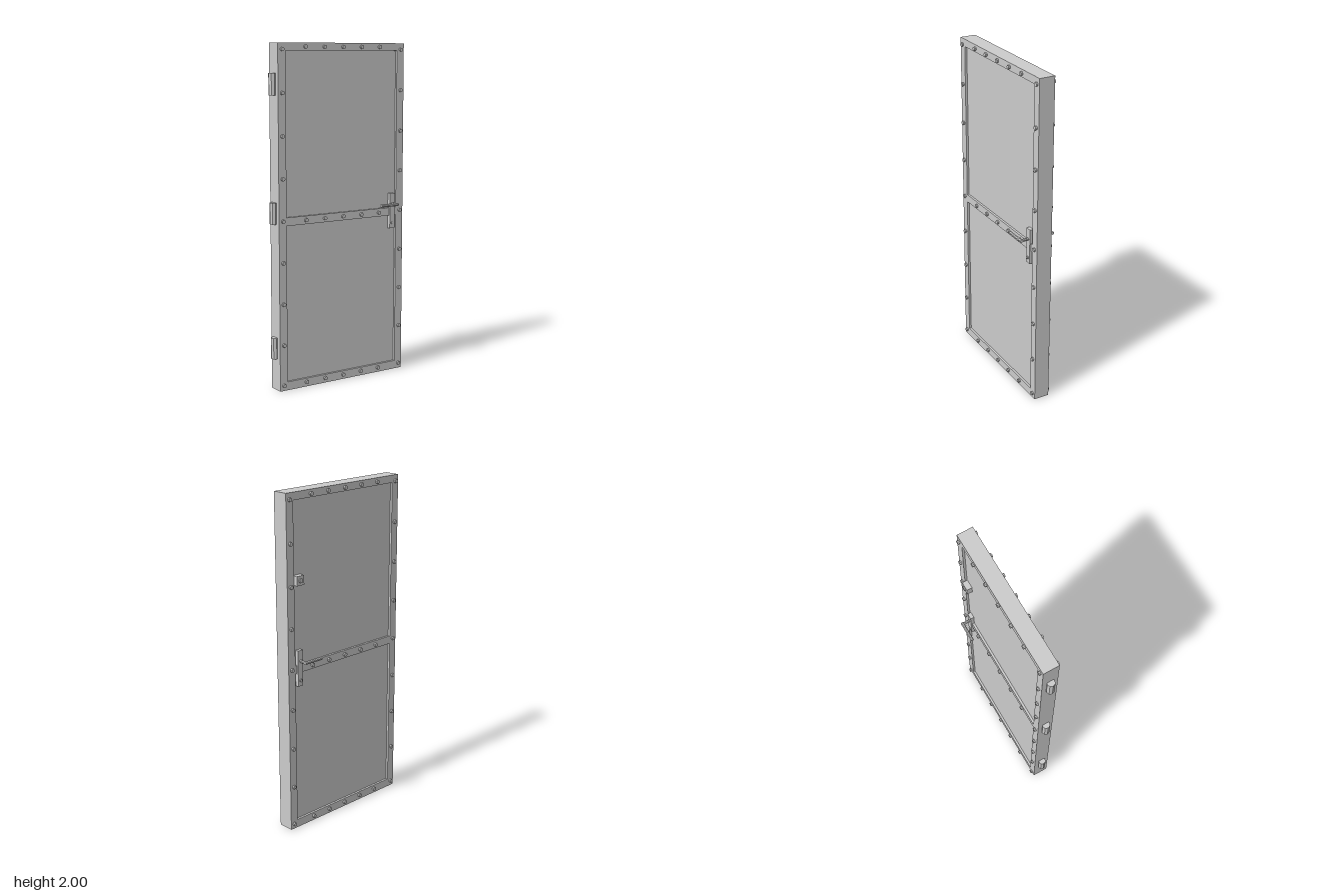
import * as THREE from 'three';

const material = new THREE.MeshStandardMaterial({ color: 0xcccccc, flatShading: true });

export function createModel() {
  const model = new THREE.Group();
  model.name = 'door';

  const add = (parent, name, geometry, x, y, z) => {
    const mesh = new THREE.Mesh(geometry, material);
    mesh.name = name;
    mesh.position.set(x, y, z);
    parent.add(mesh);
    return mesh;
  };
  const box = (parent, name, x0, x1, y0, y1, z0, z1) => add(parent, name,
    new THREE.BoxGeometry(x1 - x0, y1 - y0, z1 - z0), (x0 + x1) / 2, (y0 + y1) / 2, (z0 + z1) / 2);
  // Faceted rod along z, flats facing up and sideways
  const rodZ = (r, length, sides = 8) => new THREE.CylinderGeometry(r, r, length, sides)
    .rotateY(Math.PI / sides).rotateX(Math.PI / 2);

  // Frame with two openings
  const rect = (path, x0, x1, y0, y1) => path.moveTo(x0, y0).lineTo(x1, y0).lineTo(x1, y1).lineTo(x0, y1).closePath();
  const outline = new THREE.Shape();
  rect(outline, -0.425, 0.453, 0, 2);
  for (const [y0, y1] of [[0.05, 0.968], [1.016, 1.956]]) {
    const hole = new THREE.Path();
    rect(hole, -0.375, 0.402, y0, y1);
    outline.holes.push(hole);
  }
  add(model, 'frame', new THREE.ExtrudeGeometry(outline, { depth: 0.095, bevelEnabled: false }), 0, 0, -0.0485);

  // Recessed panels
  box(model, 'lowerPanel', -0.375, 0.402, 0.05, 0.968, -0.035, 0.033);
  box(model, 'upperPanel', -0.375, 0.402, 1.016, 1.956, -0.035, 0.033);

  // Hinge barrels on the right edge
  for (const y of [0.252, 1.04, 1.77]) {
    add(model, 'hinge', new THREE.CylinderGeometry(0.023, 0.023, 0.124, 8), -0.433, y, -0.001);
  }

  // Bolts on both faces: two columns and three rows
  const spots = [];
  for (let i = 0; i < 9; i++) {
    for (const x of [-0.399, 0.429]) spots.push([x, 0.031 + i * 0.2415]);
  }
  for (const y of [0.028, 0.992, 1.977]) {
    for (let i = 0; i < 5; i++) spots.push([-0.245 + i * 0.1295, y]);
  }
  const boltGeometry = rodZ(0.0115, 0.016);
  for (const [x, y] of spots) {
    add(model, 'bolt', boltGeometry, x, y, 0.05);
    add(model, 'bolt', boltGeometry, x, y, -0.053);
  }

  // Handle set on each face: plate, spindle, lever and lock cylinder
  for (const s of [1, -1]) {
    const handle = new THREE.Group();
    handle.name = s > 0 ? 'frontHandle' : 'backHandle';
    handle.position.z = -0.001;
    model.add(handle);
    const plate = box(handle, 'handlePlate', 0.352, 0.389, 0.89, 1.103, 0.03, 0.056);
    plate.position.z *= s;
    add(handle, 'spindle', rodZ(0.0085, 0.058), 0.37, 1.04, s * 0.073);
    const lever = add(handle, 'lever', rodZ(0.0095, 0.127), 0.3145, 1.04, s * 0.102);
    lever.rotation.y = Math.PI / 2;
    add(handle, 'lockCylinder', rodZ(0.009, 0.012), 0.37, 0.923, s * 0.056);
  }

  // Night latch on the back
  box(model, 'latchBox', 0.345, 0.399, 1.483, 1.538, -0.068, -0.03);
  add(model, 'latchKnob', rodZ(0.0135, 0.012), 0.372, 1.511, -0.069);

  return model;
}
